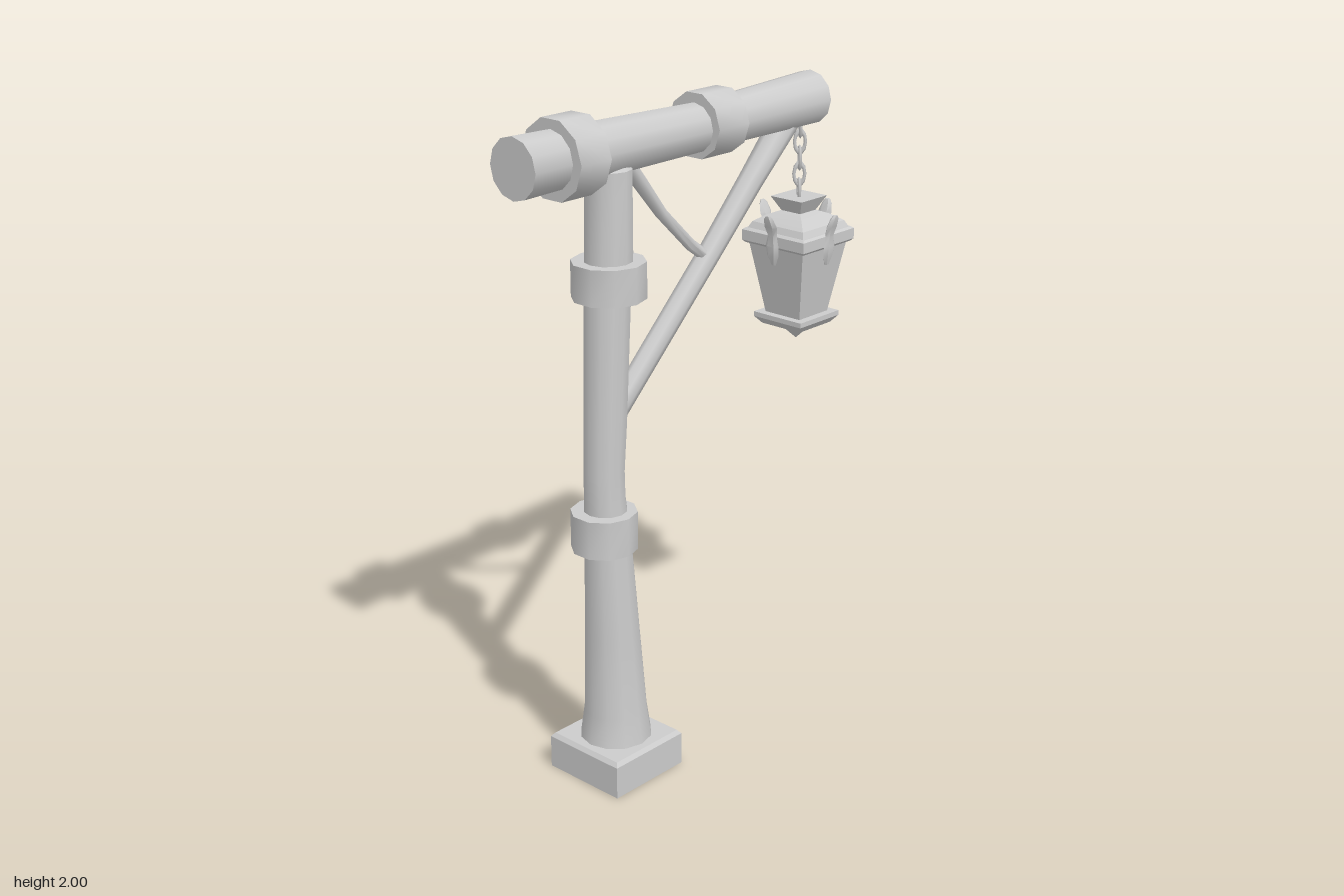
import * as THREE from 'three';
import { toCreasedNormals } from 'three/addons/utils/BufferGeometryUtils.js';

const material = new THREE.MeshStandardMaterial({ color: 0xcccccc, side: THREE.DoubleSide });

function add(parent, name, geometry) {
  const mesh = new THREE.Mesh(geometry, material);
  mesh.name = name;
  parent.add(mesh);
  return mesh;
}

// Skins n-sided rings [x, y, z, radiusAlongZ, radiusAcross] along an axis in the xy plane.
function loft(rings, n, { axis = [0, 1, 0], phase = 0, capStart = true, capEnd = true, crease = 0.75 } = {}) {
  const u = new THREE.Vector3(0, 0, 1);
  const v = new THREE.Vector3(...axis).normalize().cross(u);
  const pos = [], index = [];
  for (const [x, y, z, ru, rv = ru] of rings) {
    for (let i = 0; i < n; i++) {
      const a = phase + (i / n) * Math.PI * 2;
      const p = new THREE.Vector3(x, y, z).addScaledVector(u, Math.cos(a) * ru).addScaledVector(v, Math.sin(a) * rv);
      pos.push(p.x, p.y, p.z);
    }
  }
  for (let k = 0; k < rings.length - 1; k++) {
    for (let i = 0; i < n; i++) {
      const a = k * n + i, b = k * n + (i + 1) % n;
      index.push(a, b, b + n, a, b + n, a + n);
    }
  }
  const last = (rings.length - 1) * n;
  for (let i = 1; i < n - 1; i++) {
    if (capStart) index.push(0, i + 1, i);
    if (capEnd) index.push(last, last + i, last + i + 1);
  }
  const geometry = new THREE.BufferGeometry();
  geometry.setAttribute('position', new THREE.Float32BufferAttribute(pos, 3));
  geometry.setIndex(index);
  return toCreasedNormals(geometry, crease);
}

// Square rings given as [height, half width].
function squareLoft(profile, x, options = {}) {
  const rings = profile.map(([y, h]) => [x, y, 0, h * Math.SQRT2]);
  return loft(rings, 4, { phase: Math.PI / 4, crease: 0.2, ...options });
}

function buildPost(root) {
  // Hollow plinth with a round opening for the post
  const plinth = new THREE.Group();
  plinth.name = 'plinth';
  root.add(plinth);
  add(plinth, 'plinthWalls', squareLoft([[0, 0.138], [0.1, 0.138], [0.112, 0.128]], -0.307, { capStart: false, capEnd: false }));
  const s = 0.128;
  const top = new THREE.Shape([[-s, -s], [s, -s], [s, s], [-s, s]].map((p) => new THREE.Vector2(...p)));
  top.holes.push(new THREE.Path().absarc(0, 0, 0.1, 0, Math.PI * 2, true));
  const topMesh = add(plinth, 'plinthTop', new THREE.ShapeGeometry(top, 12).rotateX(-Math.PI / 2));
  topMesh.position.set(-0.307, 0.112, 0);

  // Slightly crooked, tapering post: height, centre x, radius
  const post = [
    [0.1, -0.307, 0.109], [0.2, -0.307, 0.095], [0.45, -0.317, 0.083], [0.73, -0.328, 0.07],
    [0.88, -0.339, 0.061], [0.97, -0.34, 0.06], [1.12, -0.332, 0.063], [1.47, -0.317, 0.067],
    [1.6, -0.309, 0.069], [1.83, -0.306, 0.067], [1.85, -0.3, 0.045],
  ];
  add(root, 'post', loft(post.map(([y, x, r]) => [x, y, 0, r]), 12, { capStart: false }));
  add(root, 'lowerPostCollar', loft([[-0.343, 0.73, 0, 0.097], [-0.343, 0.845, 0, 0.097]], 10));
  add(root, 'upperPostCollar', loft([[-0.31, 1.47, 0, 0.106], [-0.31, 1.575, 0, 0.106]], 10));
}

function buildBeam(root) {
  const axis = [1, 0, 0];
  const beam = [
    [-0.65, 1.888, 0.085], [-0.4, 1.888, 0.079], [0.04, 1.884, 0.071],
    [0.16, 1.886, 0.071], [0.545, 1.895, 0.08],
  ];
  add(root, 'beam', loft(beam.map(([x, y, r]) => [x, y, 0, r]), 12, { axis }));
  add(root, 'rearBeamCollar', loft([[-0.515, 1.888, 0, 0.113], [-0.405, 1.888, 0, 0.113]], 10, { axis }));
  add(root, 'frontBeamCollar', loft([[0.035, 1.89, 0, 0.096], [0.16, 1.89, 0, 0.096]], 10, { axis }));

  // Diagonal supports between post and beam
  add(root, 'brace', loft([
    [-0.3, 1.12, 0, 0.033], [0.1, 1.508, 0, 0.034], [0.28, 1.69, 0, 0.037], [0.44, 1.85, 0, 0.044],
  ], 8, { axis: [1, 0.98, 0], crease: 0.9 }));
  add(root, 'smallBrace', loft([
    [0.09, 1.5, 0, 0.018], [0.02, 1.55, 0, 0.018], [-0.1, 1.665, 0, 0.018], [-0.19, 1.775, 0, 0.022], [-0.25, 1.84, 0, 0.028],
  ], 8, { axis: [-1, 0.98, 0], crease: 0.9 }));
}

function buildLantern(root) {
  const x = 0.503;
  const chain = new THREE.Group();
  chain.name = 'chain';
  root.add(chain);
  for (let i = 0; i < 5; i++) {
    const link = add(chain, 'chainLink', new THREE.TorusGeometry(0.016, 0.0055, 5, 10));
    link.scale.y = 1.9;
    link.position.set(x, 1.62 + i * 0.049, 0);
    link.rotation.y = Math.PI / 4 + (i % 2) * Math.PI / 2;
  }

  const lantern = new THREE.Group();
  lantern.name = 'lantern';
  root.add(lantern);
  add(lantern, 'lanternCap', squareLoft([[1.55, 0.032], [1.602, 0.06]], x));
  add(lantern, 'lanternRoof', squareLoft([[1.498, 0.112], [1.525, 0.098], [1.545, 0.068], [1.558, 0.038]], x));
  add(lantern, 'lanternRim', squareLoft([[1.46, 0.112], [1.468, 0.12], [1.5, 0.12], [1.506, 0.112]], x));
  add(lantern, 'lanternBody', squareLoft([[1.235, 0.066], [1.465, 0.105]], x));
  add(lantern, 'lanternTray', squareLoft([[1.203, 0.074], [1.225, 0.092], [1.24, 0.092]], x));
  add(lantern, 'lanternFinial', squareLoft([[1.155, 0.001], [1.205, 0.042]], x));

  // Curled leaf clasp on each side: height, distance out, half width, half thickness
  const leaf = [
    [1.41, 0.112, 0.008, 0.006], [1.44, 0.117, 0.022, 0.01], [1.47, 0.121, 0.025, 0.01],
    [1.5, 0.12, 0.017, 0.01], [1.53, 0.129, 0.025, 0.01], [1.555, 0.138, 0.018, 0.009], [1.566, 0.141, 0.008, 0.006],
  ];
  for (let i = 0; i < 4; i++) {
    const clasp = add(lantern, 'leafClasp', loft(leaf.map(([y, out, w, t]) => [out, y, 0, w, t]), 6, { crease: 0.6 }));
    clasp.position.x = x;
    clasp.rotation.y = i * Math.PI / 2;
  }
}

export function createModel() {
  const root = new THREE.Group();
  root.name = 'lanternPost';
  buildPost(root);
  buildBeam(root);
  buildLantern(root);
  return root;
}
